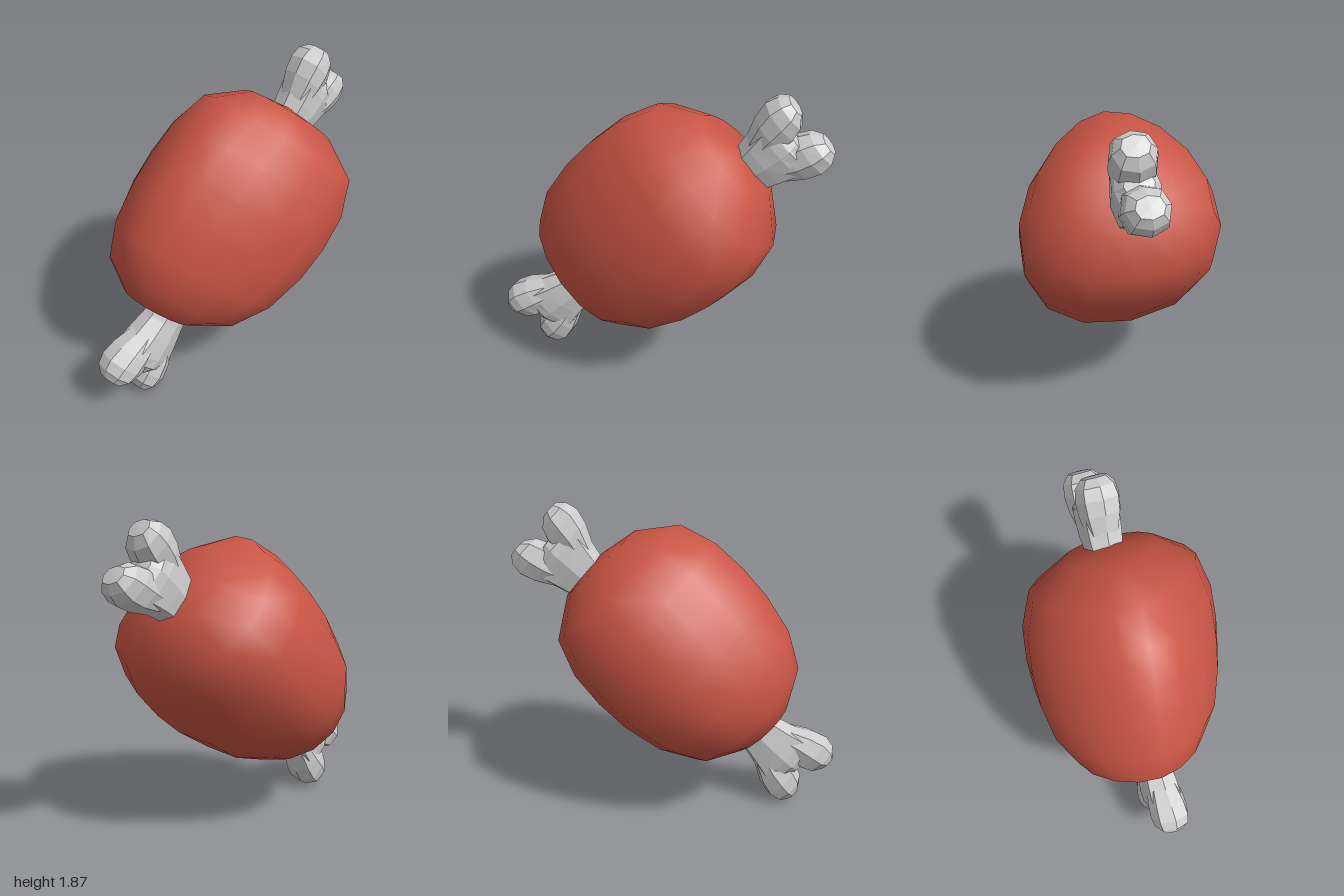
import * as THREE from 'three';
import { mergeVertices } from 'three/addons/utils/BufferGeometryUtils.js';

const meatMat = new THREE.MeshStandardMaterial({ color: 0xc85444 });
const boneMat = new THREE.MeshStandardMaterial({ color: 0xcccccc, flatShading: true });

// Skin a stack of rings, listed top to bottom as [y, centreX, radiusX, radiusZ].
// A power below 1 makes the rings boxier than an ellipse.
function loft(rings, power, mirror = 1) {
  const geo = new THREE.CylinderGeometry(1, 1, 1, 8, rings.length - 1, true);
  const pos = geo.attributes.position, uv = geo.attributes.uv;
  const bulge = (t) => Math.sign(t) * Math.abs(t) ** power;
  for (let i = 0; i < pos.count; i++) {
    const [y, cx, rx, rz] = rings[Math.round((1 - uv.getY(i)) * (rings.length - 1))];
    pos.setXYZ(i, mirror * cx + bulge(pos.getX(i)) * rx, y, bulge(pos.getZ(i)) * rz);
  }
  geo.computeVertexNormals();
  return geo;
}

function part(name, geo, mat) {
  const mesh = new THREE.Mesh(geo, mat);
  mesh.name = name;
  return mesh;
}

// Half a bone pointing up +y: a flat shaft that flares into two blunt knuckles
function boneEnd(name) {
  const g = new THREE.Group();
  g.name = name;
  g.add(part('shaft', loft([
    [1.06, 0, 0, 0], [1.05, 0, 0.06, 0.08], [1.0, 0, 0.16, 0.12], [0.94, 0, 0.21, 0.127],
    [0.83, 0, 0.175, 0.122], [0.72, 0, 0.145, 0.108], [0.5, 0, 0.13, 0.1], [0, 0, 0.13, 0.1],
  ], 0.7), boneMat));
  for (const side of [-1, 1]) {
    g.add(part('knuckle', loft([
      [1.17, 0.155, 0, 0], [1.165, 0.155, 0.06, 0.075], [1.12, 0.145, 0.11, 0.115],
      [1.05, 0.136, 0.134, 0.128], [0.96, 0.12, 0.122, 0.122],
      [0.86, 0.09, 0.095, 0.1], [0.75, 0.05, 0.07, 0.07],
    ], 0.85, side), boneMat));
  }
  return g;
}

// Barrel of meat, egg-shaped across so that its lower side is the thicker one,
// with slightly slanted ends
function meatGeometry() {
  const profile = [
    [0, -0.79], [0.23, -0.745], [0.43, -0.61], [0.54, -0.4], [0.59, -0.15],
    [0.6, 0.06], [0.585, 0.28], [0.51, 0.5], [0.29, 0.655], [0, 0.7],
  ].map(([r, y]) => new THREE.Vector2(r, y));
  const lathe = new THREE.LatheGeometry(profile, 16);
  lathe.deleteAttribute('uv');
  lathe.deleteAttribute('normal');
  const geo = mergeVertices(lathe);
  const pos = geo.attributes.position;
  for (let i = 0; i < pos.count; i++) {
    const x = pos.getX(i), y = pos.getY(i), z = pos.getZ(i);
    const thickness = 0.985 + 0.35 * x + 0.6 * x ** 3;
    pos.setXYZ(i, x - 0.05 * y, y + 0.08 * x, z * thickness + 0.05 * x + 0.06 * y + 0.02);
  }
  geo.computeVertexNormals();
  return geo;
}

export function createModel() {
  const model = new THREE.Group();
  model.name = 'meatOnBone';
  const body = new THREE.Group();
  body.name = 'tiltedBody';
  body.add(part('meat', meatGeometry(), meatMat));

  // Bone running through the meat
  const bone = new THREE.Group();
  bone.name = 'bone';
  const upper = boneEnd('upperBoneEnd');
  const lower = boneEnd('lowerBoneEnd');
  lower.rotation.z = Math.PI;
  bone.add(upper, lower);
  bone.position.set(0.09, -0.08, 0.04);
  body.add(bone);

  // Lean the whole piece along its diagonal
  const up = new THREE.Vector3(0.74, 0.67, -0.1).normalize();
  const across = new THREE.Vector3(0.67, -0.74, -0.2);
  across.addScaledVector(up, -across.dot(up)).normalize();
  const out = new THREE.Vector3().crossVectors(across, up);
  body.quaternion.setFromRotationMatrix(new THREE.Matrix4().makeBasis(across, up, out));
  body.position.set(0, 1.06, 0);
  model.add(body);
  return model;
}
